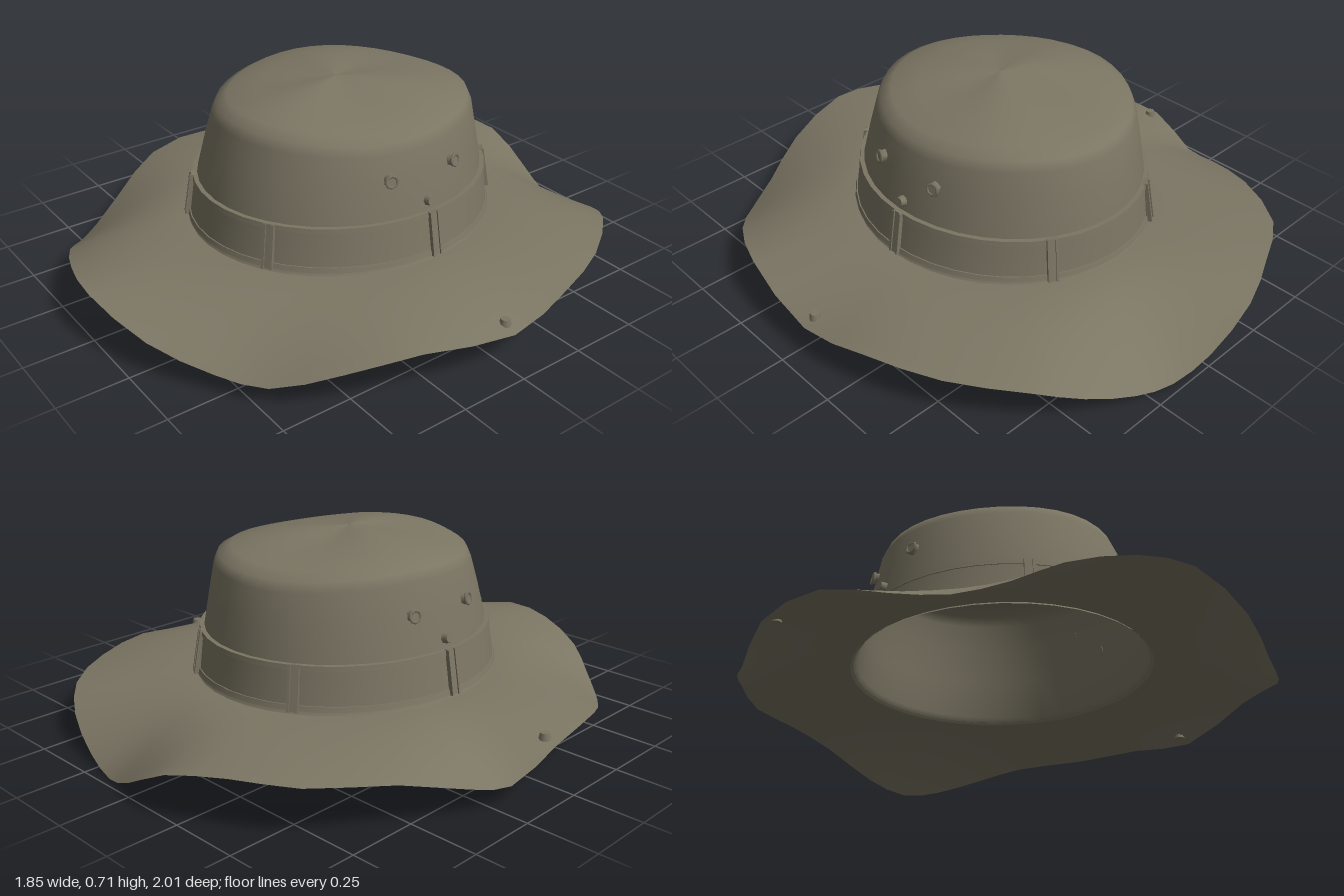
import * as THREE from 'three';
import { toCreasedNormals } from 'three/addons/utils/BufferGeometryUtils.js';

// Closed lofted surface: point(u, v) with u around the hat and v running bottom/outside to top/inside
function loft(point, nu, nv) {
  const pos = [], index = [];
  for (let j = 0; j <= nv; j++)
    for (let i = 0; i < nu; i++) pos.push(...point(i / nu, j / nv).toArray());
  for (let j = 0; j < nv; j++)
    for (let i = 0; i < nu; i++) {
      const k = (i + 1) % nu;
      const a = j * nu + i, b = j * nu + k, c = b + nu, d = a + nu;
      index.push(a, b, c, a, c, d);
    }
  const g = new THREE.BufferGeometry();
  g.setAttribute('position', new THREE.Float32BufferAttribute(pos, 3));
  g.setIndex(index);
  g.computeVertexNormals();
  return g;
}

// Crown rings: height, half width, half depth, z centre
const CROWN = [
  [0.2, 0.535, 0.57, -0.015], [0.225, 0.512, 0.548, -0.015], [0.37, 0.488, 0.53, -0.018],
  [0.5, 0.463, 0.5, -0.025], [0.6, 0.44, 0.476, -0.03], [0.635, 0.425, 0.46, -0.03],
  [0.658, 0.385, 0.415, -0.025], [0.682, 0.28, 0.3, -0.01], [0.7, 0.14, 0.15, 0], [0.708, 0.001, 0.001, 0],
];

function ringAt(y) {
  let i = 0;
  while (i < CROWN.length - 2 && CROWN[i + 1][0] < y) i++;
  const t = (y - CROWN[i][0]) / (CROWN[i + 1][0] - CROWN[i][0]);
  return CROWN[i].map((v, k) => v + (CROWN[i + 1][k] - v) * t);
}

function onRing([y, rx, rz, cz], a, out = 0) {
  return new THREE.Vector3((rx + out) * Math.sin(a), y, cz + (rz + out) * Math.cos(a));
}

// Wavy rim of the brim as x, y, z, starting at the front and running past +x
const RIM = [
  [0, 0.18, 1], [0.27, 0.12, 0.94], [0.48, 0.07, 0.82], [0.63, 0.065, 0.72], [0.78, 0.13, 0.55],
  [0.88, 0.165, 0.32], [0.92, 0.11, -0.03], [0.88, 0.15, -0.3], [0.78, 0.155, -0.56],
  [0.62, 0.15, -0.78], [0.48, 0.1, -0.88], [0.3, 0.03, -0.94], [0.15, 0, -0.97], [0, 0.05, -1],
  [-0.2, 0.15, -1], [-0.4, 0.18, -0.92], [-0.6, 0.18, -0.81], [-0.76, 0.16, -0.57],
  [-0.86, 0.1, -0.35], [-0.9, 0.07, -0.2], [-0.925, 0.15, 0], [-0.87, 0.15, 0.3],
  [-0.75, 0.08, 0.52], [-0.64, 0.04, 0.68], [-0.52, 0.065, 0.8], [-0.4, 0.12, 0.89], [-0.2, 0.17, 0.97],
];

export function createModel() {
  const hat = new THREE.Group();
  hat.name = 'hat';
  const cloth = new THREE.MeshStandardMaterial({ color: 0x7b7563, side: THREE.DoubleSide });
  cloth.name = 'olive cloth';
  const add = (name, geometry) => {
    const m = new THREE.Mesh(geometry, cloth);
    m.name = name;
    hat.add(m);
    return m;
  };

  // Brim: falls from the crown seam to the wavy rim
  const rim = new THREE.CatmullRomCurve3(RIM.map(p => new THREE.Vector3(...p)), true);
  const brimPoint = (u, v) => {
    const e = rim.getPoint(u);
    const p = onRing([0.208, 0.525, 0.56, -0.015], Math.atan2(e.x / 0.525, (e.z + 0.015) / 0.56));
    const t = 1 - v;
    return new THREE.Vector3(
      p.x + (e.x - p.x) * t,
      p.y + (e.y - p.y) * Math.pow(t, 1.8),
      p.z + (e.z - p.z) * t);
  };
  add('brim', loft(brimPoint, RIM.length * 2, 9));

  // Crown: tapered wall and softly rumpled top
  const last = CROWN.length - 1;
  add('crown', loft((u, v) => {
    const j = Math.round(v * last), a = u * Math.PI * 2;
    const p = onRing(CROWN[j], a);
    if (j > 3 && j < last) p.y += 0.008 * Math.sin(3 * a + 0.7) - 0.012 * p.x;
    return p;
  }, 40, last));

  // Hat band with a raised hem at each edge
  const strip = (name, y0, y1, out) => {
    const rows = [[y0, 0], [y0, out], [y1, out], [y1, 0]];
    const g = loft((u, v) => {
      const [y, o] = rows[Math.round(v * 3)];
      return onRing(ringAt(y), u * Math.PI * 2, o);
    }, 40, 3);
    add(name, toCreasedNormals(g, 0.7));
  };
  strip('band', 0.225, 0.37, 0.012);
  strip('lowerHem', 0.222, 0.24, 0.016);
  strip('upperHem', 0.357, 0.374, 0.016);

  // Small part set against the crown wall, facing outward
  const fit = (name, geometry, y, a, out) => {
    const m = add(name, geometry);
    m.position.copy(onRing(ringAt(y), a, out));
    m.rotation.set(-0.17, a, 0, 'YXZ');
  };

  // Six band loops, each with two raised edges
  for (const a of [0.52, 1.6, Math.PI - 0.49, Math.PI + 0.49, -1.6, -0.45]) {
    fit('bandLoop', new THREE.BoxGeometry(0.036, 0.158, 0.016), 0.298, a, 0.015);
    for (const s of [-1, 1])
      fit('loopEdge', new THREE.BoxGeometry(0.009, 0.158, 0.014), 0.298, a + s * 0.027, 0.021);
  }

  // Vent eyelets and a chin cord button on each side
  const disc = (r, h, n) => new THREE.CylinderGeometry(r * 0.8, r, h, n).rotateX(Math.PI / 2).toNonIndexed();
  for (const s of [-1, 1]) {
    for (const a of [1.3, 1.84]) {
      fit('eyelet', disc(0.025, 0.02, 6), 0.51, s * a, 0.006);
      fit('eyeletRim', new THREE.TorusGeometry(0.02, 0.006, 5, 8), 0.51, s * a, 0.015);
    }
    fit('cordButton', disc(0.021, 0.024, 8), 0.41, s * 1.59, 0.008);
  }

  // Snap on each side of the brim
  for (const [u, v] of [[6 / 27, 0.12], [20 / 27, 0.12]]) {
    const snap = add('brimSnap', new THREE.CylinderGeometry(0.016, 0.021, 0.024, 8));
    snap.position.copy(brimPoint(u, v));
    snap.position.y += 0.006;
  }

  return hat;
}
